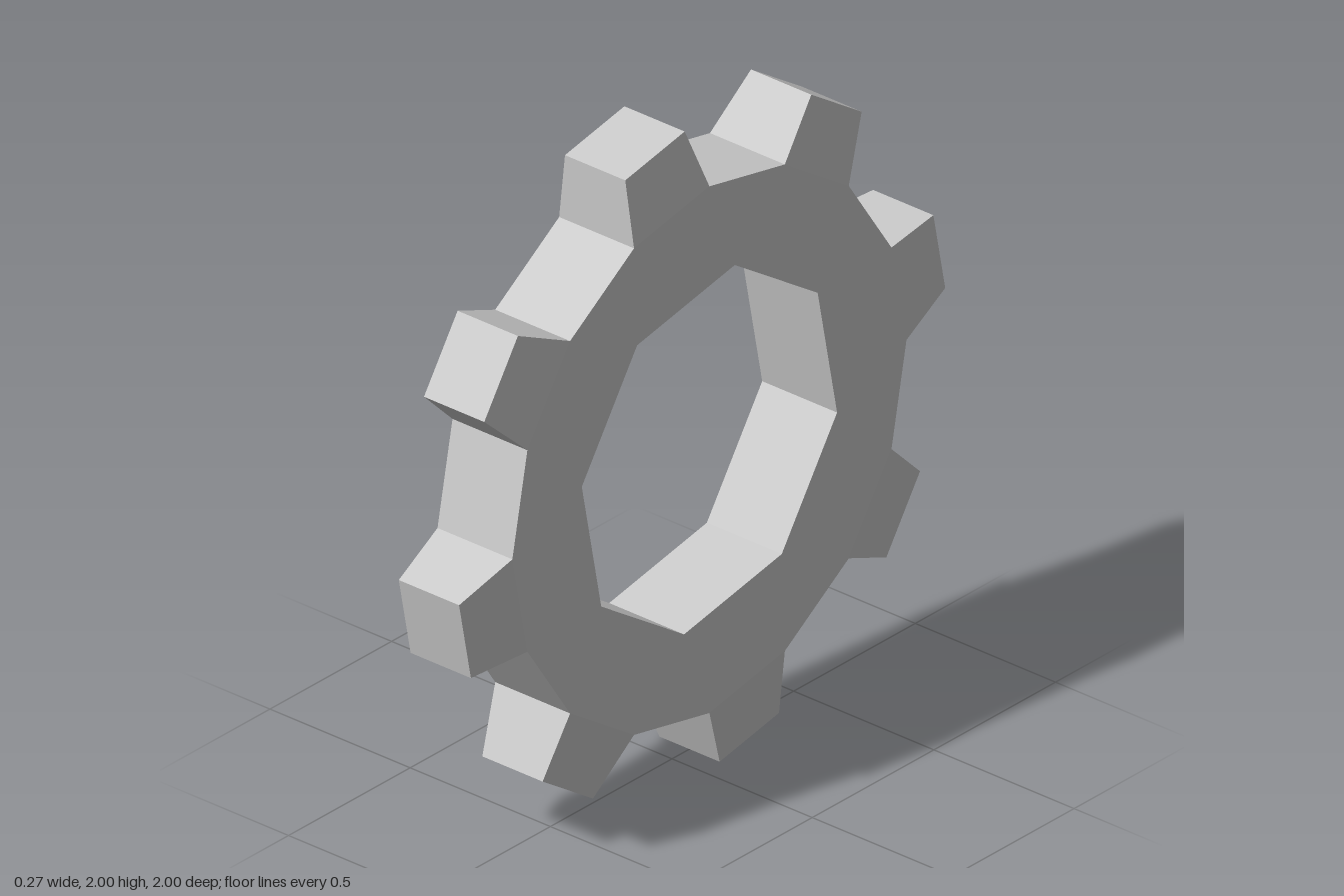
import * as THREE from 'three';

const TEETH = 8;
const BODY_R = 0.81, HOLE_R = 0.535, TIP_R = 0.994;
const THICK = 0.267, TIP_THICK = 0.215, TIP_WIDTH = 0.249;
const STEP = (Math.PI * 2) / TEETH;

// Regular polygon with its first corner at the given angle
function polygon(sides, radius, start) {
  return Array.from({ length: sides }, (_, i) => {
    const a = start + (i / sides) * Math.PI * 2;
    return new THREE.Vector2(Math.cos(a) * radius, Math.sin(a) * radius);
  });
}

// Block along +y from the ring's rim, narrowing towards its tip
function toothGeometry() {
  const baseR = BODY_R * Math.cos(STEP / 4);
  const baseWidth = 2 * BODY_R * Math.sin(STEP / 4);
  const geo = new THREE.BoxGeometry(baseWidth, TIP_R - baseR, THICK);
  geo.translate(0, (TIP_R + baseR) / 2, 0);
  const p = geo.attributes.position;
  for (let i = 0; i < p.count; i++) {
    if (p.getY(i) < (TIP_R + baseR) / 2) continue;
    p.setX(i, Math.sign(p.getX(i)) * TIP_WIDTH / 2);
    p.setZ(i, Math.sign(p.getZ(i)) * TIP_THICK / 2);
  }
  geo.computeVertexNormals();
  return geo;
}

export function createModel() {
  const group = new THREE.Group();
  group.name = 'gear';
  const material = new THREE.MeshStandardMaterial({ color: 0xcccccc, flatShading: true });

  // Sixteen-sided ring with an octagonal hole
  const shape = new THREE.Shape(polygon(TEETH * 2, BODY_R, 0));
  shape.holes.push(new THREE.Path(polygon(TEETH, HOLE_R, STEP / 4)));
  const ringGeo = new THREE.ExtrudeGeometry(shape, { depth: THICK, bevelEnabled: false });
  ringGeo.translate(0, 0, -THICK / 2);
  const ring = new THREE.Mesh(ringGeo, material);
  ring.name = 'ring';

  // Wheel is drawn in the xy plane, then turned to face sideways
  const wheel = new THREE.Group();
  wheel.name = 'wheel';
  wheel.add(ring);

  // Teeth on every other side of the ring
  const toothGeo = toothGeometry();
  for (let i = 0; i < TEETH; i++) {
    const tooth = new THREE.Mesh(toothGeo, material);
    tooth.name = `tooth${i + 1}`;
    tooth.rotation.z = (i + 0.75) * STEP - Math.PI / 2;
    wheel.add(tooth);
  }

  wheel.rotation.y = -Math.PI / 2;
  wheel.position.y = 1;
  group.add(wheel);
  return group;
}
